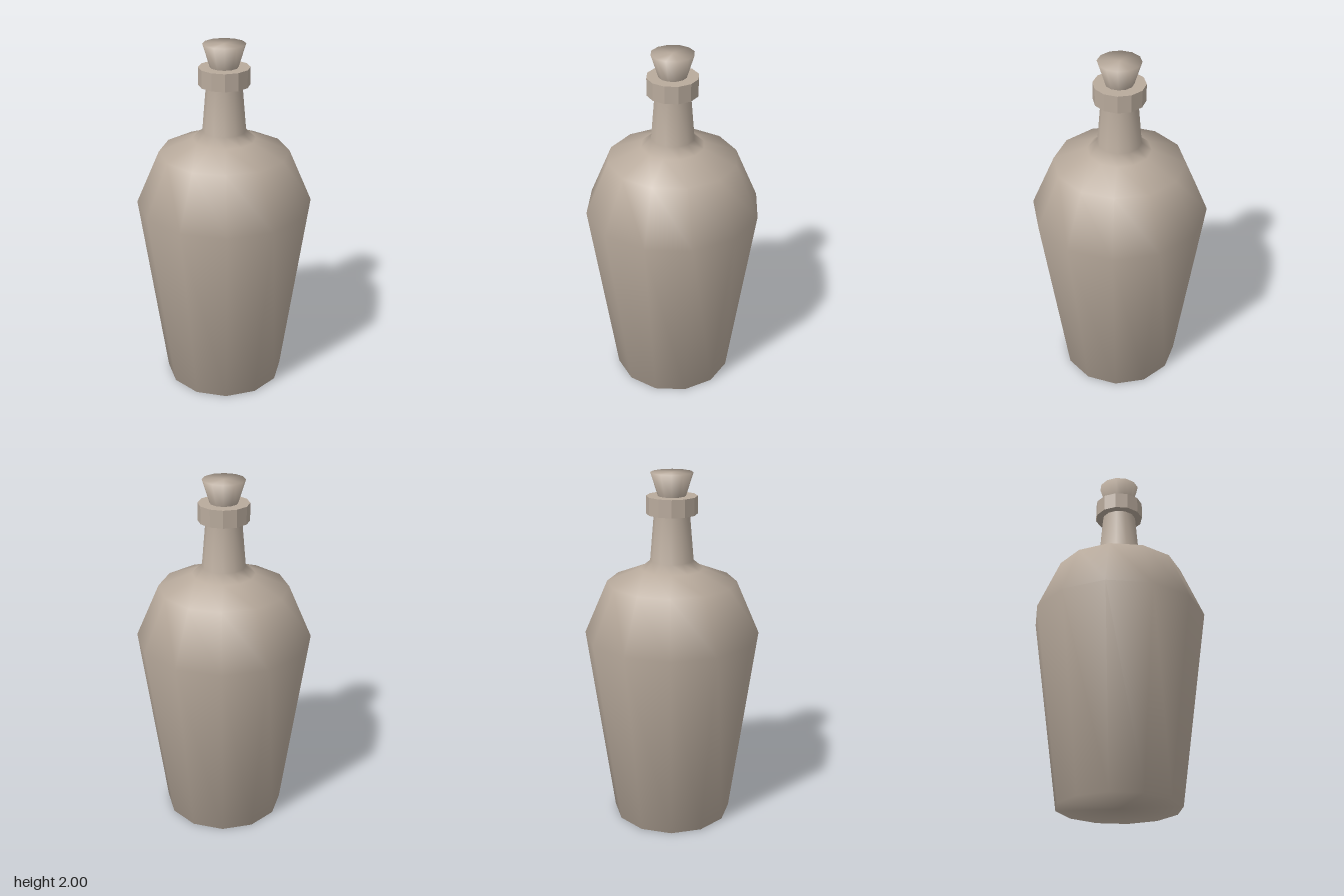
import * as THREE from 'three';

const SIDES = 12;

// Smooth low-poly solid of revolution from [radius, height] pairs, bottom to top
function turned(name, profile, material) {
  const points = profile.map(([r, y]) => new THREE.Vector2(r, y));
  const mesh = new THREE.Mesh(new THREE.LatheGeometry(points, SIDES), material);
  mesh.name = name;
  return mesh;
}

export function createModel() {
  const group = new THREE.Group();
  group.name = 'bottle';

  const clay = new THREE.MeshStandardMaterial({ color: 0xb8aa9c });
  clay.name = 'warm clay grey';

  // Base, tapered body, shoulder and neck in one smooth surface
  group.add(turned('body', [
    [0, 0], [0.34, 0], [0.49, 1.1], [0.36, 1.4],
    [0.175, 1.475], [0.12, 1.52], [0.097, 1.79],
  ], clay));

  // Faceted collar around the mouth
  const collarGeometry = new THREE.CylinderGeometry(0.14, 0.14, 0.097, SIDES).toNonIndexed();
  collarGeometry.computeVertexNormals();
  const collar = new THREE.Mesh(collarGeometry, clay);
  collar.name = 'collar';
  collar.position.y = 1.826;
  group.add(collar);

  // Flared stopper
  group.add(turned('stopper', [[0.075, 1.87], [0.116, 2], [0, 2]], clay));

  return group;
}
